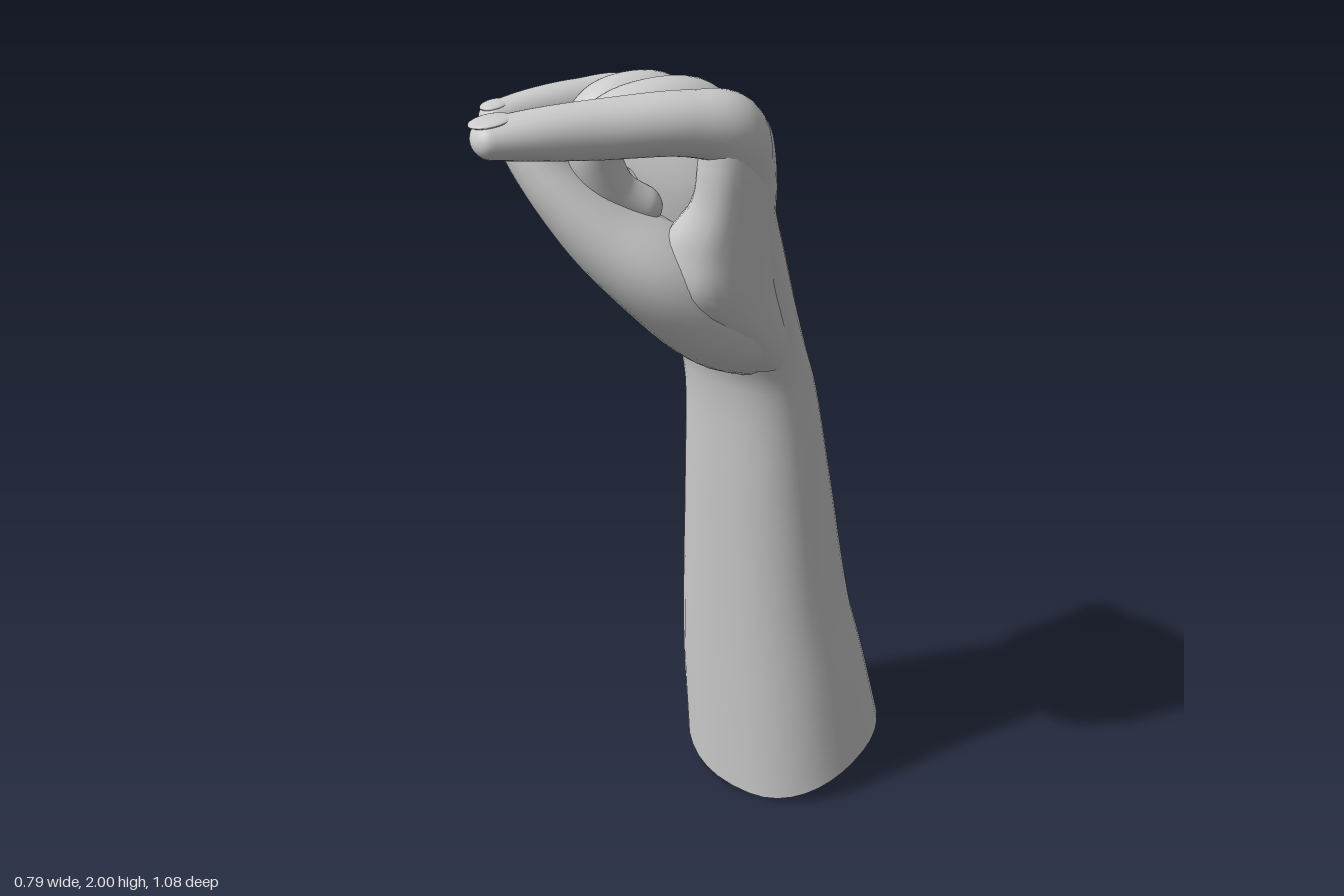
import * as THREE from 'three';

const skin = new THREE.MeshStandardMaterial({ color: 0xcccccc, side: THREE.DoubleSide });
// Across the fingers, roughly along the knuckle row
const ACROSS = new THREE.Vector3(0.76, 0, 0.65);
const UP = new THREE.Vector3(0, 1, 0);
const soften = (v, power) => Math.sign(v) * Math.pow(Math.abs(v), power);

// Smooth loft through sections [x, y, z, halfWidth, halfDepth, turn], rounded at its far end.
// level keeps every ring horizontal, with a flatter front.
function loft(name, sections, { level = false, steps = 40, sides = 28, adjust } = {}) {
  const path = new THREE.CatmullRomCurve3(sections.map(([x, y, z]) => new THREE.Vector3(x, y, z)));
  const sizes = new THREE.CatmullRomCurve3(
    sections.map(([, , , a, b = a, turn = 0]) => new THREE.Vector3(a, b, turn)), false, 'catmullrom');
  const end = path.getPoint(1);
  const roundLength = sizes.getPoint(1).y;
  const positions = [], index = [];
  for (let i = 0; i <= steps; i++) {
    const t = 1 - Math.pow(1 - i / steps, 1.7);
    const c = path.getPoint(t), s = sizes.getPoint(t);
    const T = level ? UP.clone() : path.getTangent(t);
    const U = level ? new THREE.Vector3(Math.cos(s.z), 0, Math.sin(s.z)) : ACROSS.clone();
    U.addScaledVector(T, -U.dot(T)).normalize();
    const V = T.clone().cross(U);
    const k = t < 0.5 ? 1 : Math.min(1, c.distanceTo(end) / roundLength);
    const round = Math.sqrt(Math.max(0, 1 - (1 - k) ** 2));
    for (let j = 0; j < sides; j++) {
      const w = (j / sides) * Math.PI * 2;
      const power = level && Math.sin(w) < 0 ? 0.85 : 1;
      const p = c.clone()
        .addScaledVector(U, soften(Math.cos(w), power) * s.x * round)
        .addScaledVector(V, soften(Math.sin(w), power) * s.y * round);
      if (adjust) adjust(p);
      positions.push(p.x, p.y, p.z);
      if (i < steps) {
        const a = i * sides + j, b = i * sides + (j + 1) % sides;
        index.push(a, b, a + sides, b, b + sides, a + sides);
      }
    }
  }
  const geometry = new THREE.BufferGeometry();
  geometry.setAttribute('position', new THREE.Float32BufferAttribute(positions, 3));
  geometry.setIndex(index);
  geometry.computeVertexNormals();
  const mesh = new THREE.Mesh(geometry, skin);
  mesh.name = name;
  return mesh;
}

export function createModel() {
  const group = new THREE.Group();
  group.name = 'forearmAndHand';

  // Forearm, wrist and palm in one skin, open at the slanted lower rim
  group.add(loft('forearmAndPalm', [
    [0.13, 0, -0.30, 0.26, 0.24, 0.08],
    [0.107, 0.3, -0.274, 0.243, 0.214, 0.06],
    [0.088, 0.6, -0.245, 0.213, 0.185, 0.03],
    [0.078, 0.9, -0.215, 0.187, 0.155, 0],
    [0.067, 1.2, -0.178, 0.167, 0.122, 0.05],
    [0.05, 1.32, -0.145, 0.178, 0.124, 0.2],
    [0.03, 1.45, -0.105, 0.202, 0.136, 0.35],
    [0.018, 1.6, -0.06, 0.225, 0.133, 0.42],
    [0.014, 1.75, -0.008, 0.246, 0.12, 0.45],
    [0.01, 1.85, 0.018, 0.243, 0.103, 0.45],
    [0.006, 1.95, 0.045, 0.21, 0.08, 0.45],
  ], {
    level: true, steps: 80, sides: 40,
    adjust: (p) => {
      // Rim rises toward the back; knuckle row drops toward the little finger
      const rise = 0.138 * (1 - Math.exp(Math.min(0, (p.z + 0.06) / 0.18)));
      const knuckles = THREE.MathUtils.smoothstep(p.y, 1.6, 1.9);
      p.y += rise * Math.max(0, 1 - p.y / 0.5) + 0.14 * p.x * knuckles;
    },
  }));

  // Thumb with its fleshy base
  group.add(loft('thumb', [
    [0.11, 1.31, -0.13, 0.09],
    [0.085, 1.43, 0.015, 0.14, 0.12],
    [0.025, 1.55, 0.13, 0.145, 0.115],
    [-0.08, 1.66, 0.217, 0.11, 0.086],
    [-0.165, 1.77, 0.273, 0.073, 0.062],
    [-0.215, 1.84, 0.288, 0.06, 0.054],
    [-0.268, 1.905, 0.3, 0.042, 0.036],
  ]));

  // Web filling the hand between thumb and index finger
  group.add(loft('thumbWeb', [
    [0.125, 1.28, -0.13, 0.09, 0.1],
    [0.122, 1.42, -0.01, 0.108, 0.125],
    [0.12, 1.54, 0.055, 0.114, 0.15],
    [0.132, 1.65, 0.065, 0.106, 0.14],
    [0.17, 1.75, 0.07, 0.075, 0.12],
    [0.18, 1.84, 0.08, 0.068, 0.105],
    [0.178, 1.955, 0.095, 0.062, 0.08],
  ], { level: true }));

  // Fingers, each rising out of the back of the hand over its knuckle
  const fingers = {
    indexFinger: [
      [0.14, 1.58, 0.03, 0.07],
      [0.172, 1.8, 0.07, 0.076],
      [0.177, 1.905, 0.115, 0.078],
      [0.13, 1.932, 0.19, 0.068],
      [0.0, 1.936, 0.335, 0.061],
      [-0.08, 1.938, 0.43, 0.056, 0.052],
      [-0.165, 1.938, 0.53, 0.049, 0.036],
    ],
    middleFinger: [
      [0.04, 1.65, -0.03, 0.07],
      [0.058, 1.84, 0.0, 0.073],
      [0.045, 1.905, 0.055, 0.072],
      [-0.04, 1.905, 0.175, 0.068],
      [-0.085, 1.86, 0.22, 0.06],
      [-0.07, 1.75, 0.19, 0.054],
      [0.0, 1.68, 0.11, 0.045],
    ],
    ringFinger: [
      [-0.06, 1.65, -0.07, 0.07],
      [-0.07, 1.82, -0.053, 0.07],
      [-0.08, 1.885, 0.0, 0.069],
      [-0.145, 1.885, 0.095, 0.064],
      [-0.172, 1.835, 0.13, 0.056],
      [-0.14, 1.73, 0.105, 0.05],
      [-0.07, 1.68, 0.04, 0.04],
    ],
    littleFinger: [
      [-0.12, 1.58, -0.1, 0.06],
      [-0.175, 1.77, -0.092, 0.064],
      [-0.203, 1.85, -0.058, 0.06],
      [-0.26, 1.868, 0.04, 0.05],
      [-0.32, 1.865, 0.14, 0.045],
      [-0.375, 1.858, 0.245, 0.038, 0.032],
    ],
  };
  for (const [name, sections] of Object.entries(fingers)) group.add(loft(name, sections, { steps: 56 }));

  // Fingernails on the two outstretched fingers
  const nail = (name, x, y, z, width, turn) => {
    const mesh = new THREE.Mesh(new THREE.SphereGeometry(1, 20, 12), skin);
    mesh.scale.set(width, 0.008, width * 1.2);
    mesh.position.set(x, y, z);
    mesh.rotation.set(0.14, turn, 0, 'YXZ');
    mesh.name = name;
    group.add(mesh);
  };
  nail('indexNail', -0.14, 1.974, 0.495, 0.038, -0.7);
  nail('littleNail', -0.36, 1.89, 0.212, 0.028, -0.48);

  return group;
}
